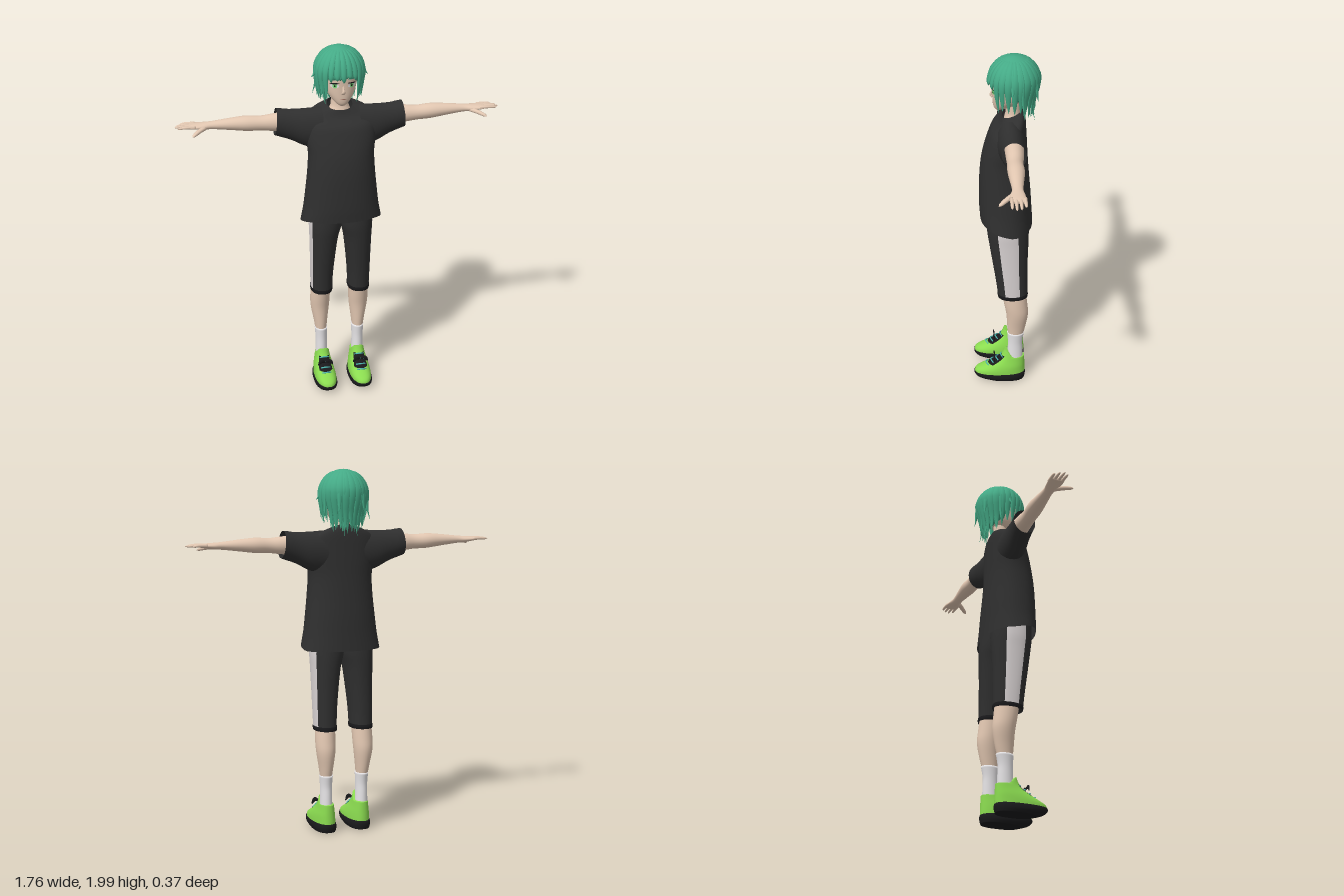
import * as THREE from 'three';

const flat = (name, color, side = THREE.FrontSide) => {
  const m = new THREE.MeshStandardMaterial({ color, side });
  m.name = name;
  return m;
};
const V = (x, y, z) => new THREE.Vector3(x, y, z);
const { clamp, smoothstep } = THREE.MathUtils;

// Joins equal rings of points into a closed skin; pick(i, j) chooses a material slot per face
function skin(rings, { capA = true, capB = true, pick = null } = {}) {
  const n = rings[0].length, pts = rings.flat(), faces = [[], []];
  const last = (rings.length - 1) * n;
  for (let i = 0; i < rings.length - 1; i++) for (let j = 0; j < n; j++) {
    const k = (j + 1) % n, a = i * n + j, b = i * n + k;
    faces[pick ? pick(i / (rings.length - 1), j) : 0].push(a, b, b + n, a, b + n, a + n);
  }
  const cap = (start, flip) => {
    const c = pts.length, mid = V(0, 0, 0);
    for (let j = 0; j < n; j++) mid.addScaledVector(pts[start + j], 1 / n);
    pts.push(mid);
    for (let j = 0; j < n; j++) {
      const a = start + j, b = start + (j + 1) % n;
      faces[0].push(...(flip ? [c, b, a] : [c, a, b]));
    }
  };
  if (capA) cap(0, true);
  if (capB) cap(last, false);
  const g = new THREE.BufferGeometry().setFromPoints(pts);
  g.setIndex([...faces[0], ...faces[1]]);
  if (pick) {
    g.addGroup(0, faces[0].length, 0);
    g.addGroup(faces[0].length, faces[1].length, 1);
  }
  g.computeVertexNormals();
  return g;
}

// Rows of [y, xMin, xMax, zBack, zFront], smoothed and turned into rounded rings
function loft(rows, opt = {}) {
  const { seg = 32, pow = 2, sub = 4, bend = null } = opt, rings = [];
  for (let s = 0; s <= (rows.length - 1) * sub; s++) {
    const i = Math.min(Math.floor(s / sub), rows.length - 2), t = s / sub - i;
    const at = k => rows[clamp(k, 0, rows.length - 1)];
    const [y, x0, x1, z0, z1] = rows[0].map((_, c) => {
      const p0 = at(i - 1)[c], p1 = at(i)[c], p2 = at(i + 1)[c], p3 = at(i + 2)[c];
      const m1 = (p2 - p0) / 2, m2 = (p3 - p1) / 2;
      return p1 + t * (m1 + t * (3 * (p2 - p1) - 2 * m1 - m2 + t * (2 * (p1 - p2) + m1 + m2)));
    });
    rings.push(Array.from({ length: seg }, (_, j) => {
      const a = j / seg * Math.PI * 2;
      const r = v => Math.sign(v) * Math.abs(v) ** (2 / pow);
      const p = V((x0 + x1) / 2 + (x1 - x0) / 2 * r(Math.sin(a)), y, (z0 + z1) / 2 + (z1 - z0) / 2 * r(Math.cos(a)));
      if (bend) bend(p);
      return p;
    }));
  }
  return skin(rings, opt);
}
const sym = rows => rows.map(([y, x, b, f]) => [y, -x, x, b, f]);

// Tapered strand along a curve: width across, depth along the outward direction
function strand(points, out, width, depth, profile, steps = 10, seg = 8) {
  const curve = new THREE.CatmullRomCurve3(points), rings = [];
  for (let i = 0; i <= steps; i++) {
    const t = i / steps, p = curve.getPoint(t), T = curve.getTangent(t);
    const u = V(0, 0, 0).crossVectors(T, out).normalize(), v = V(0, 0, 0).crossVectors(T, u), s = profile(t);
    rings.push(Array.from({ length: seg }, (_, j) => {
      const a = j / seg * Math.PI * 2;
      return p.clone().addScaledVector(u, Math.cos(a) * width * s).addScaledVector(v, Math.sin(a) * depth * s);
    }));
  }
  return skin(rings);
}

// Copy of a geometry reflected to the other side
function mirrored(geo) {
  const g = geo.clone().scale(-1, 1, 1), ix = g.index.array;
  for (let i = 0; i < ix.length; i += 3) [ix[i], ix[i + 1]] = [ix[i + 1], ix[i]];
  g.computeVertexNormals();
  return g;
}

export function createModel() {
  const model = new THREE.Group();
  model.name = 'figure';
  const hair = flat('hair green', 0x45ab87), skinM = flat('skin', 0xe3c8b2);
  const cloth = flat('charcoal cloth', 0x2f2f2f, THREE.DoubleSide), black = flat('black trim', 0x1a1a1c, THREE.DoubleSide);
  const pale = flat('stripe grey', 0xdad4d4), white = flat('sock white', 0xe6e4e6);
  const lime = flat('shoe green', 0x8bdc50), iris = flat('eye green', 0x7be07a);
  const teal = flat('lace teal', 0x4fb8b0), lip = flat('lip', 0xa87868);

  const add = (name, geo, mat, parent = model) => {
    const m = new THREE.Mesh(geo, mat);
    m.name = name;
    parent.add(m);
    return m;
  };
  const pair = (name, geo, mat) => {
    add(name + 'Left', geo, mat);
    add(name + 'Right', mirrored(geo), mat);
  };

  // Shirt body: raised front hem, neckline dipping at the front
  add('shirtBody', loft(sym([
    [1.015, .222, -.147, .14], [1.1, .207, -.141, .144], [1.2, .195, -.135, .144], [1.32, .183, -.125, .14],
    [1.42, .179, -.118, .127], [1.5, .19, -.114, .105], [1.57, .195, -.11, .08], [1.63, .185, -.106, .055],
    [1.67, .14, -.1, .03], [1.7, .068, -.088, .018],
  ]), {
    seg: 40, pow: 2.25, capA: false, capB: false, bend: p => {
      p.y += .035 * clamp(p.z / .14 + .3, 0, 1) * (1 - smoothstep(p.y, 1.015, 1.15));
      p.y -= (p.z + .09) * .42 * smoothstep(p.y, 1.55, 1.7);
    },
  }), cloth);
  pair('sleeve', loft([
    [.1, -1.665, -1.43, -.1, .05], [.19, -1.66, -1.452, -.1, .042],
    [.27, -1.66, -1.492, -.096, .03], [.355, -1.668, -1.522, -.1, .026],
  ], { capA: false, capB: false, bend: p => { if (p.y > .3) p.y -= (-p.x - 1.52) * .1; } }).rotateZ(-Math.PI / 2), cloth);

  // Arms, hands and fingers
  pair('arm', loft([
    [.2, -1.645, -1.535, -.09, .015], [.34, -1.64, -1.543, -.087, .007], [.42, -1.632, -1.552, -.08, .002],
    [.5, -1.636, -1.555, -.086, .002], [.58, -1.63, -1.565, -.08, -.006], [.68, -1.619, -1.577, -.072, -.016],
    [.73, -1.615, -1.58, -.08, -.006], [.78, -1.612, -1.588, -.086, -.002], [.805, -1.608, -1.592, -.082, -.006],
  ], { seg: 20 }).rotateZ(-Math.PI / 2), skinM);
  const round = t => Math.sqrt(Math.max(0, 1 - t ** 6)) * (1 - .25 * t) + .02;
  [[-.077, .85], [-.056, .873], [-.034, .882], [-.013, .868]].forEach(([z, tip], i) =>
    pair('finger' + i, strand([V(.77, 1.602, z), V(.82, 1.603, z * 1.03), V(tip, 1.599, z * 1.06)], V(0, 1, 0), .01, .009, round), skinM));
  pair('thumb', strand([V(.72, 1.593, -.025), V(.76, 1.585, .015), V(.795, 1.572, .05)], V(0, 1, 0), .015, .012, round), skinM);

  // Shorts with side stripe and cuffs
  pair('shortsLeg', loft([
    [.58, .046, .165, -.12, .044], [.68, .042, .167, -.119, .056], [.8, .031, .169, -.12, .074],
    [.92, .016, .172, -.124, .092], [1.0, -.004, .175, -.125, .103], [1.1, -.01, .17, -.12, .105],
  ], { seg: 40, pow: 2.2, pick: (t, j) => (j >= 7 && j < 13 ? 1 : 0) }), [cloth, pale]);
  pair('shortsCuff', loft([
    [.573, .046, .166, -.121, .044], [.585, .043, .168, -.123, .047], [.597, .044, .167, -.121, .047],
  ], { pow: 2.2, capA: false, capB: false }), black);

  // Legs and socks
  pair('leg', loft([
    [.2, .077, .135, -.092, -.014], [.28, .077, .136, -.092, -.014], [.36, .07, .146, -.11, -.008],
    [.45, .059, .162, -.125, -.002], [.52, .055, .165, -.12, .01], [.62, .055, .16, -.108, .028],
  ], { seg: 24 }), skinM);
  pair('sock', loft([
    [.1, .07, .14, -.097, -.008], [.2, .073, .138, -.095, -.01], [.26, .073, .138, -.094, -.011], [.32, .07, .142, -.104, -.007],
  ], { seg: 24 }), white);

  // Shoes: sole, upper with dark tongue, laces and bow
  pair('shoeSole', loft([
    [0, .046, .157, -.104, .11], [.018, .038, .165, -.109, .165], [.035, .037, .166, -.111, .182], [.048, .04, .163, -.108, .183],
  ], { pow: 2.5 }), black);
  pair('shoeUpper', loft([
    [.035, .041, .162, -.108, .181], [.065, .042, .161, -.108, .174], [.095, .048, .156, -.107, .118],
    [.128, .057, .147, -.106, .06], [.16, .063, .141, -.105, .026], [.202, .066, .137, -.104, .008],
  ], {
    pow: 2.3, pick: (t, j) => (t > .4 && t < .8 && (j < 4 || j >= 28) ? 1 : 0),
    bend: p => { p.y = Math.min(p.y, .155 + Math.max(0, p.z + .04) * 1.1); },
  }), [lime, black]);
  for (let k = 0; k < 4; k++) {
    const y = .1 + k * .018, z = .113 - k * .028;
    pair('lace' + k, strand([V(.076, y - .004, z - .012), V(.102, y + .007, z + .003), V(.128, y - .004, z - .012)], V(0, 1, 0), .004, .004, () => 1, 8, 6), teal);
  }
  for (const s of [-1, 1])
    pair('laceBow', strand([V(.102, .142, .062), V(.102 + s * .024, .153, .068), V(.102 + s * .042, .128, .066)], V(0, 0, 1), .008, .003, t => .4 + Math.sin(t * Math.PI)), black);

  // Neck, head and nose
  add('neck', loft(sym([
    [1.56, .085, -.095, .015], [1.64, .06, -.088, .008], [1.68, .047, -.08, .0], [1.76, .046, -.08, .0],
  ]), { seg: 24 }), skinM);
  const head = add('head', loft(sym([
    [1.69, .014, .022, .05], [1.702, .032, -.01, .06], [1.725, .054, -.06, .066], [1.76, .075, -.1, .069],
    [1.81, .087, -.125, .072], [1.87, .094, -.14, .076], [1.92, .088, -.135, .064], [1.965, .05, -.1, .02],
  ]), { pow: 2.2 }), skinM);
  add('nose', strand([V(0, 1.815, .066), V(0, 1.79, .073), V(0, 1.773, .078), V(0, 1.764, .068)], V(0, 0, 1), .011, .008, t => .35 + .65 * t), skinM);

  // Facial details laid onto the head surface
  const ray = new THREE.Raycaster();
  const onFace = (name, x, y, w, h, mat, lift, tilt = 0) => {
    const g = new THREE.CircleGeometry(1, 20).scale(w, h, 1).rotateZ(tilt).translate(x, y, 0), p = g.attributes.position;
    for (let i = 0; i < p.count; i++) {
      ray.set(V(p.getX(i), p.getY(i), 1), V(0, 0, -1));
      const hit = ray.intersectObject(head)[0];
      p.setZ(i, (hit ? hit.point.z : .04) + lift);
    }
    g.computeVertexNormals();
    add(name, g, mat);
  };
  for (const s of [-1, 1]) {
    onFace('eyeWhite', s * .045, 1.808, .021, .012, white, .003);
    onFace('iris', s * .045, 1.808, .011, .013, iris, .005);
    onFace('pupil', s * .045, 1.808, .004, .006, black, .006);
    onFace('upperLash', s * .046, 1.821, .024, .0035, black, .006, -s * .12);
    onFace('brow', s * .045, 1.843, .022, .0025, hair, .004, -s * .1);
  }
  onFace('mouth', 0, 1.732, .017, .0022, lip, .003);

  // Hair cap, trimmed above the face
  const cap = new THREE.SphereGeometry(1, 32, 20).scale(.125, .127, .132).translate(0, 1.866, -.047), cp = cap.attributes.position;
  for (let i = 0; i < cp.count; i++) if (cp.getZ(i) > -.04) cp.setY(i, Math.max(cp.getY(i), 1.855));
  cap.computeVertexNormals();
  add('hairCap', cap, hair);

  // Hair locks falling from the crown: short fringe, long sides, flicked nape
  let seed = 7;
  const rnd = () => (seed = (seed * 16807) % 2147483647) / 2147483647;
  const locks = new THREE.Group();
  locks.name = 'hairLocks';
  model.add(locks);
  const lockShape = t => (.35 + .65 * Math.sin(Math.min(1, t * 1.7) * Math.PI / 2)) * Math.max(.02, 1 - t ** 3.2);
  const lock = (a, yEnd, mid, end, grow, w) => {
    const at = (r, y) => V(.132 * r * grow * Math.sin(a), y, -.045 + .135 * r * grow * Math.cos(a));
    const L = 1.87 - yEnd;
    add('lock', strand([at(.08, 1.986), at(.55, 1.967), at(.86, 1.92), at(.99, 1.865), at(mid, 1.865 - L * .55), at(end, yEnd)],
      V(Math.sin(a), .5, Math.cos(a)).normalize(), w, .011, lockShape, 12), hair, locks);
  };
  for (const [count, grow, turn] of [[24, 1, 0], [22, .95, .14]]) for (let i = 0; i < count; i++) {
    const a = i / count * Math.PI * 2 + turn, f = Math.abs(Math.atan2(Math.sin(a), Math.cos(a))), r = rnd();
    if (f < .75) lock(a, 1.825 + r * .025, 1, .97, grow, .019);
    else if (f < 1.9) lock(a, 1.69 + r * .05, .93, .8 + r * .16, grow, .024);
    else lock(a, 1.645 + r * .045, .82, .68 + r * .16, grow, .028);
  }
  // Loose flicks at the temples and nape
  for (const s of [-1, 1]) {
    lock(s * 1.5, 1.83, 1.06, 1.16, 1, .014);
    lock(s * 1.9, 1.72, .98, 1.1, 1, .014);
    lock(s * 2.6, 1.76, 1.02, 1.08, 1, .016);
    lock(s * 2.8, 1.64, .72, .85, 1, .016);
  }
  return model;
}
